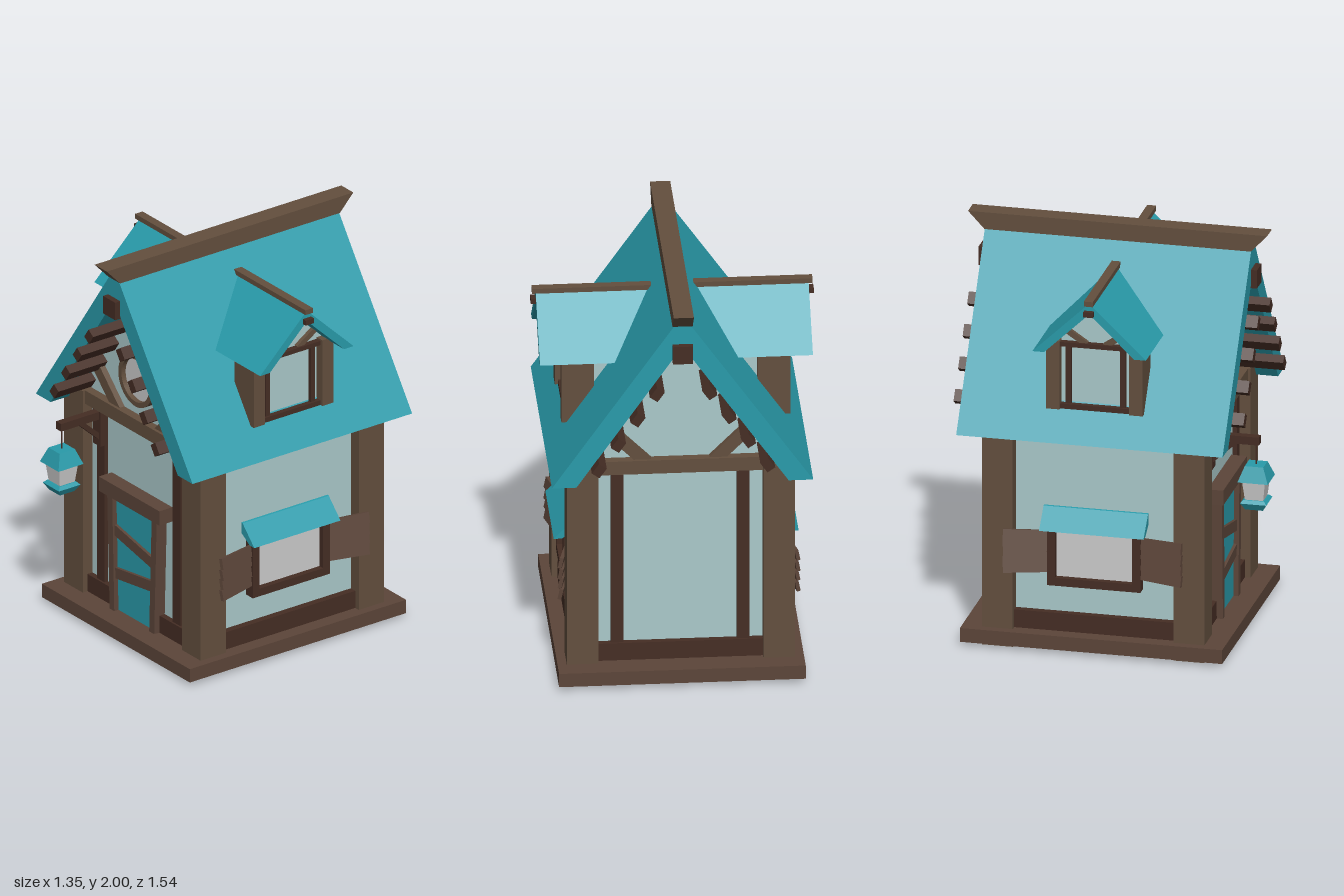
import * as THREE from 'three';

const mat = (color) => new THREE.MeshStandardMaterial({ color, flatShading: true });
const teal = mat(0x299baa), wall = mat(0xaac9ca), wood = mat(0x634f3e);
const plank = mat(0x5c4539), dark = mat(0x452d24), grey = mat(0xcccccc);

function add(parent, name, geo, m, x = 0, y = 0, z = 0) {
  const mesh = new THREE.Mesh(geo, m);
  mesh.name = name;
  mesh.position.set(x, y, z);
  parent.add(mesh);
  return mesh;
}

function group(parent, name) {
  const g = new THREE.Group();
  g.name = name;
  parent.add(g);
  return g;
}

// Box given by its minimum and maximum on each axis
function box(parent, name, m, x0, x1, y0, y1, z0, z1) {
  return add(parent, name, new THREE.BoxGeometry(x1 - x0, y1 - y0, z1 - z0), m,
    (x0 + x1) / 2, (y0 + y1) / 2, (z0 + z1) / 2);
}

// Outline in x,y extruded from z0 to z1
function prismGeo(pts, z0, z1, hole) {
  const shape = new THREE.Shape(pts.map(([x, y]) => new THREE.Vector2(x, y)));
  if (hole) shape.holes.push(hole);
  const geo = new THREE.ExtrudeGeometry(shape, { depth: z1 - z0, bevelEnabled: false });
  return geo.translate(0, 0, z0);
}
const prism = (parent, name, m, pts, z0, z1) => add(parent, name, prismGeo(pts, z0, z1), m);

// Outline in z,y extruded along x, centred
const crossPrism = (parent, name, m, pts, width) =>
  add(parent, name, prismGeo(pts, -width / 2, width / 2).rotateY(-Math.PI / 2), m);

// Straight timber between two points in x,y
function timber(parent, name, m, [x0, y0], [x1, y1], width, z0, z1) {
  const geo = new THREE.BoxGeometry(Math.hypot(x1 - x0, y1 - y0), width, z1 - z0);
  const mesh = add(parent, name, geo, m, (x0 + x1) / 2, (y0 + y1) / 2, (z0 + z1) / 2);
  mesh.rotation.z = Math.atan2(y1 - y0, x1 - x0);
}

// Upside-down V with horizontal eaves
const chevron = (outer, inner, eave, top, under) =>
  [[-outer, eave], [-inner, eave], [0, under], [inner, eave], [outer, eave], [0, top]];

// Four-sided tapered block
function taper(parent, name, m, top, bottom, y0, y1) {
  const geo = new THREE.CylinderGeometry(top * Math.SQRT2, bottom * Math.SQRT2, y1 - y0, 4);
  add(parent, name, geo.rotateY(Math.PI / 4), m, 0, (y0 + y1) / 2, 0);
}

function addGableEnd(house, angle) {
  const g = group(house, 'gableEnd');
  g.rotation.y = angle;
  box(g, 'sill', dark, -0.4, 0.4, 0.09, 0.18, 0.45, 0.515);
  box(g, 'gableBeam', wood, -0.4, 0.4, 1.08, 1.15, 0.45, 0.53);
  for (const s of [-1, 1]) {
    box(g, 'wallStud', dark, s * 0.3 - 0.03, s * 0.3 + 0.03, 0.18, 1.08, 0.45, 0.505);
    timber(g, 'gableBrace', wood, [s * 0.35, 1.32], [s * 0.16, 1.13], 0.06, 0.45, 0.515);
  }
}

function addSideWindow(house, angle) {
  const g = group(house, 'sideWindow');
  g.rotation.y = angle;
  box(g, 'sideSill', dark, -0.4, 0.4, 0.09, 0.18, 0.45, 0.515);
  box(g, 'windowPane', grey, -0.2, 0.2, 0.35, 0.64, 0.45, 0.505);
  for (const s of [-1, 1]) box(g, 'windowJamb', dark, s * 0.208 - 0.02, s * 0.208 + 0.02, 0.325, 0.64, 0.45, 0.535);
  box(g, 'windowLedge', dark, -0.228, 0.228, 0.325, 0.365, 0.45, 0.535);
  crossPrism(g, 'awning', teal, [[0.46, 0.715], [0.46, 0.67], [0.545, 0.615], [0.583, 0.615], [0.49, 0.71]], 0.51);
  // Slatted shutters, swung out over the corner posts
  for (const s of [-1, 1]) {
    const shutter = group(g, 'shutter');
    shutter.position.set(s * 0.225, 0, 0.515);
    shutter.rotation.y = -s * 0.23;
    for (let i = 0; i < 4; i++) {
      const slat = add(shutter, 'shutterSlat', new THREE.BoxGeometry(0.22, 0.055, 0.018), plank,
        s * 0.107, 0.412 + i * 0.053, 0);
      slat.rotation.set(-0.2, 0, (i % 2 ? 0.03 : -0.02) * s);
    }
  }
}

function addDormer(house, angle, z) {
  const g = group(house, 'dormer');
  g.rotation.y = angle;
  g.position.z = z;
  prism(g, 'dormerWall', wall, [[-0.2, 1.2], [0.2, 1.2], [0.2, 1.58], [0, 1.775], [-0.2, 1.58]], 0.2, 0.5);
  prism(g, 'dormerRoof', teal, chevron(0.277, 0.22, 1.55, 1.815, 1.76), 0.08, 0.65);
  box(g, 'dormerRidge', wood, -0.022, 0.022, 1.805, 1.83, 0.1, 0.668);
  box(g, 'dormerBeamEnd', dark, -0.024, 0.024, 1.752, 1.778, 0.4, 0.674);
  box(g, 'dormerSill', dark, -0.17, 0.17, 1.225, 1.25, 0.45, 0.53);
  box(g, 'dormerLintel', dark, -0.18, 0.18, 1.54, 1.562, 0.45, 0.53);
  for (const s of [-1, 1]) {
    box(g, 'dormerPost', wood, s * 0.203 - 0.033, s * 0.203 + 0.033, 1.225, 1.57, 0.39, 0.545);
    box(g, 'dormerStud', dark, s * 0.133 - 0.013, s * 0.133 + 0.013, 1.25, 1.55, 0.45, 0.52);
    timber(g, 'dormerBrace', wood, [s * 0.15, 1.625], [s * 0.045, 1.555], 0.028, 0.45, 0.52);
  }
}

function addDoor(house) {
  const g = group(house, 'door');
  prism(g, 'doorPanel', teal, [[-0.15, 0.09], [0.15, 0.09], [0.17, 0.7], [-0.17, 0.7]], 0.44, 0.52);
  prism(g, 'doorJambLeft', plank, [[0.137, 0.09], [0.177, 0.09], [0.197, 0.7], [0.157, 0.7]], 0.44, 0.545);
  prism(g, 'doorJambRight', plank, [[-0.177, 0.09], [-0.14, 0.09], [-0.157, 0.7], [-0.197, 0.7]], 0.44, 0.545);
  box(g, 'doorLintel', plank, -0.24, 0.24, 0.69, 0.765, 0.44, 0.562);
  timber(g, 'doorBarUpper', plank, [-0.155, 0.51], [0.155, 0.445], 0.055, 0.5, 0.535);
  timber(g, 'doorBarLower', plank, [-0.15, 0.285], [0.148, 0.325], 0.055, 0.5, 0.535);
}

function addLantern(house) {
  const g = group(house, 'lantern');
  g.position.x = -0.3;
  box(g, 'bracketPlate', dark, -0.03, 0.03, 0.9, 1.08, 0.5, 0.53);
  box(g, 'bracketArm', dark, -0.02, 0.02, 1.04, 1.08, 0.48, 0.755);
  crossPrism(g, 'bracketBrace', dark, [[0.52, 0.925], [0.65, 1.045], [0.615, 1.045], [0.52, 0.96]], 0.035);
  const lamp = group(g, 'lamp');
  lamp.position.z = 0.737;
  add(lamp, 'lampHanger', new THREE.CylinderGeometry(0.004, 0.004, 0.12, 6), dark, 0, 0.99, 0);
  taper(lamp, 'lampRoof', teal, 0.045, 0.074, 0.865, 0.94);
  taper(lamp, 'lampGlass', grey, 0.056, 0.044, 0.765, 0.866);
  taper(lamp, 'lampRim', teal, 0.05, 0.064, 0.755, 0.77);
  taper(lamp, 'lampFoot', teal, 0.064, 0.043, 0.72, 0.755);
}

export function createModel() {
  const root = new THREE.Group();
  const house = group(root, 'house');
  house.position.set(-0.005, 0, -0.037);

  // Base, corner posts and walls
  box(house, 'base', plank, -0.587, 0.587, 0.02, 0.09, -0.64, 0.64);
  for (const sx of [-1, 1]) for (const sz of [-1, 1])
    box(house, 'cornerPost', wood, sx * 0.468 - 0.075, sx * 0.468 + 0.075, 0, 1.15, sz * 0.468 - 0.075, sz * 0.468 + 0.075);
  prism(house, 'walls', wall, [[-0.48, 0.08], [0.48, 0.08], [0.48, 1.14], [0, 1.84], [-0.48, 1.14]], -0.485, 0.485);

  // Roof, ridge and projecting roof timbers
  prism(house, 'roof', teal, chevron(0.622, 0.505, 1.08, 1.975, 1.81), -0.65, 0.65);
  crossPrism(house, 'ridgeBeam', wood, [[-0.65, 1.915], [0.65, 1.915], [0.73, 2], [-0.73, 2]], 0.096);
  box(house, 'ridgeBeamEnd', dark, -0.048, 0.048, 1.73, 1.822, -0.68, 0.68);
  for (const s of [-1, 1]) for (let i = 0; i < 4; i++) {
    const purlin = add(house, 'roofTimber', new THREE.BoxGeometry(0.06, 0.045, 1.415), dark,
      s * (0.125 + i * 0.092), 1.585 - i * 0.131, 0);
    purlin.rotation.z = -s * 0.96;
  }

  for (const angle of [0, Math.PI]) addGableEnd(house, angle);
  for (const s of [-1, 1]) {
    addSideWindow(house, s * Math.PI / 2);
    addDormer(house, s * Math.PI / 2, -0.006 * s);
  }

  // Round gable window
  const circle = (r) => new THREE.Path().absarc(0, 0, r, 0, Math.PI * 2).getPoints(32);
  const rim = prismGeo(circle(0.135).slice(0, -1).map((p) => [p.x, p.y]), 0.47, 0.525, new THREE.Path(circle(0.11)));
  add(house, 'roundWindowFrame', rim, wood, 0, 1.35, 0);
  add(house, 'roundWindowPane', new THREE.CylinderGeometry(0.115, 0.115, 0.04, 32).rotateX(Math.PI / 2), grey, 0, 1.35, 0.48);

  addDoor(house);
  addLantern(house);
  return root;
}
